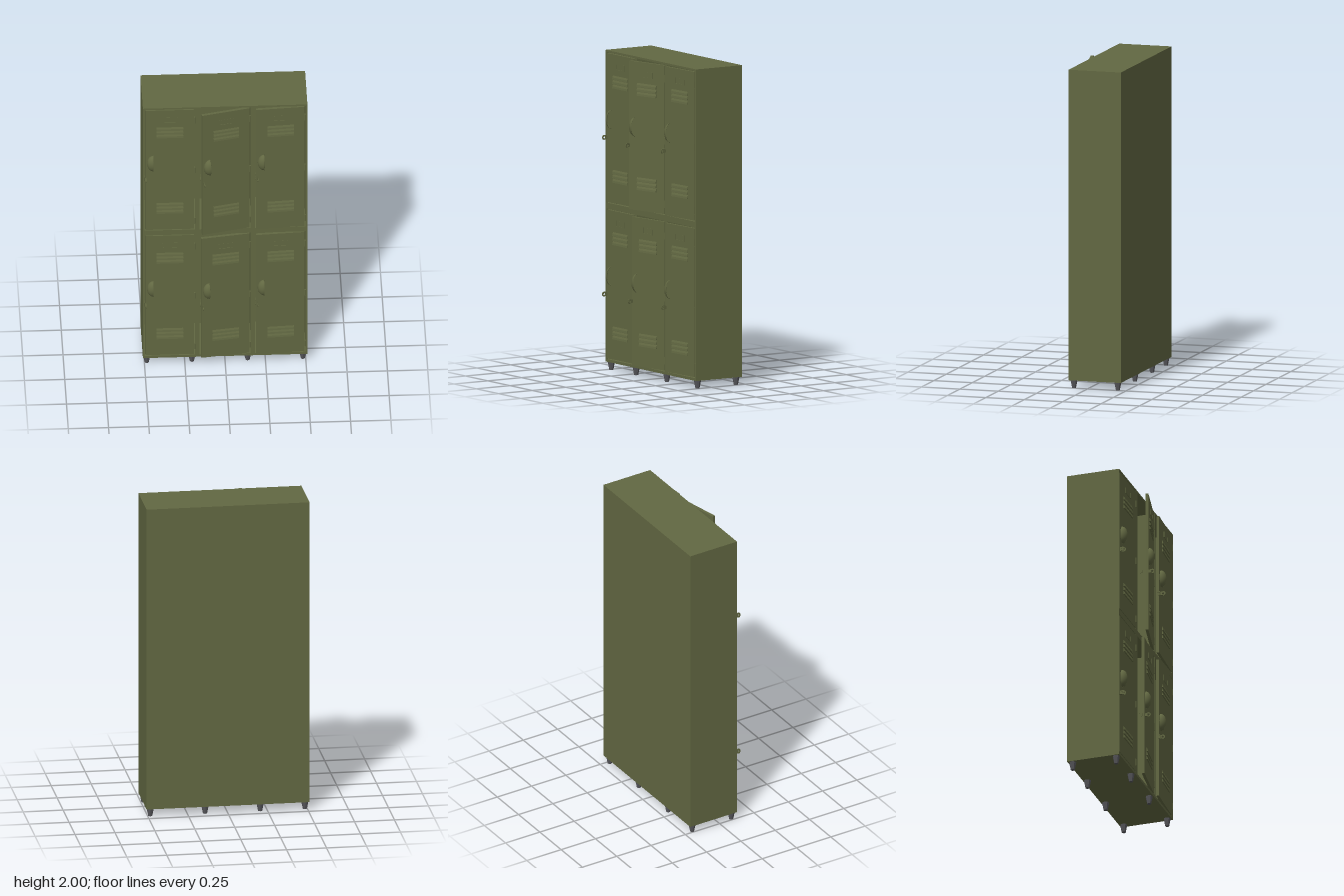
import * as THREE from 'three';

const green = new THREE.MeshStandardMaterial({ color: 0x626842, side: THREE.DoubleSide });
green.name = 'olivePaint';
const grey = new THREE.MeshStandardMaterial({ color: 0x58585c, flatShading: true });
grey.name = 'greyRubber';

const FRONT = 0.12, BACK = -0.22;

function add(parent, name, geometry, x, y, z, material = green) {
  const mesh = new THREE.Mesh(geometry, material);
  mesh.name = name;
  mesh.position.set(x, y, z);
  parent.add(mesh);
  return mesh;
}

// Box given by its minimum and maximum corners
function box(parent, name, x0, x1, y0, y1, z0, z1) {
  return add(parent, name, new THREE.BoxGeometry(x1 - x0, y1 - y0, z1 - z0),
    (x0 + x1) / 2, (y0 + y1) / 2, (z0 + z1) / 2);
}

function rectPath(path, x0, x1, y0, y1) {
  path.moveTo(x0, y0);
  path.lineTo(x1, y0);
  path.lineTo(x1, y1);
  path.lineTo(x0, y1);
  path.closePath();
  return path;
}

// Three wedge-shaped slats, sloping out towards their lower edge
function louvers(door, x0, x1, yBottom) {
  const pitch = 0.028;
  const wedge = new THREE.Shape([
    new THREE.Vector2(-0.001, 0), new THREE.Vector2(0.007, 0),
    new THREE.Vector2(0.005, 0.012), new THREE.Vector2(-0.001, 0.026)]);
  const geometry = new THREE.ExtrudeGeometry(wedge, { depth: x1 - x0, bevelEnabled: false });
  geometry.rotateY(-Math.PI / 2);
  for (let i = 0; i < 3; i++) add(door, 'louver', geometry, x1, yBottom + i * pitch, 0);
}

// Flat tab with a padlock hole, standing out from the surface
function hasp(parent, name, x, y, z, length) {
  const r = 0.015, shape = new THREE.Shape();
  shape.moveTo(0, -0.009);
  shape.lineTo(length - r, -0.013);
  shape.absarc(length - r, 0, r, -Math.PI / 2, Math.PI / 2, false);
  shape.lineTo(0, 0.009);
  shape.closePath();
  shape.holes.push(new THREE.Path().absarc(length - r, 0, 0.007, 0, Math.PI * 2, true));
  const geometry = new THREE.ExtrudeGeometry(shape, { depth: 0.003, bevelEnabled: false, curveSegments: 8 });
  geometry.rotateY(-Math.PI / 2);
  return add(parent, name, geometry, x, y, z);
}

// Door built from its hinge edge: x runs from -width to 0, y from 0 to height
function makeDoor(width, height, handleY, louverYs) {
  const door = new THREE.Group();
  box(door, 'doorPanel', -width, 0, 0, height, -0.018, 0);
  for (const y of louverYs) louvers(door, -width + 0.07, -width + 0.235, y);

  // Cupped pull: quarter of an ellipsoid, open towards the hinge
  const cup = new THREE.SphereGeometry(1, 12, 16, 0, Math.PI / 2);
  cup.scale(0.04, 0.058, 0.033);
  add(door, 'handleCup', cup, -width + 0.05, handleY, 0);
  const rim = new THREE.TorusGeometry(1, 0.03, 6, 16, Math.PI);
  rim.rotateZ(-Math.PI / 2);
  rim.rotateY(-Math.PI / 2);
  rim.scale(0.06, 0.058, 0.032);
  add(door, 'handleRim', rim, -width + 0.049, handleY, 0);
  hasp(door, 'doorHasp', -width + 0.01, handleY - 0.117, 0, 0.038);

  // Name card holder: three raised edges round a thin plate
  const cx = -width + 0.153, cy = height - 0.075;
  box(door, 'cardPlate', cx - 0.045, cx + 0.045, cy - 0.018, cy + 0.018, 0, 0.001);
  box(door, 'cardHolderBottom', cx - 0.045, cx + 0.045, cy - 0.02, cy - 0.016, 0, 0.004);
  for (const s of [-1, 1])
    box(door, 'cardHolderSide', cx + s * 0.045 - 0.002, cx + s * 0.045 + 0.002, cy - 0.02, cy + 0.018, 0, 0.004);
  return door;
}

export function createModel() {
  const model = new THREE.Group();
  model.name = 'lockers';
  const cabinet = new THREE.Group();
  cabinet.name = 'cabinet';
  model.add(cabinet);

  // Outer shell, dividers and middle shelf
  const t = 0.008, inner = FRONT - 0.004;
  box(cabinet, 'backPanel', -0.51, 0.51, 0.05, 2, BACK, BACK + t);
  box(cabinet, 'topPanel', -0.51, 0.51, 2 - t, 2, BACK + t, inner);
  box(cabinet, 'bottomPanel', -0.51, 0.51, 0.05, 0.05 + t, BACK + t, inner);
  box(cabinet, 'rightSide', -0.51, -0.51 + t, 0.05 + t, 2 - t, BACK + t, inner);
  box(cabinet, 'leftSide', 0.51 - t, 0.51, 0.05 + t, 2 - t, BACK + t, inner);
  for (const x of [-0.17, 0.17])
    box(cabinet, 'divider', x - 0.004, x + 0.004, 0.05 + t, 2 - t, BACK + t, inner);
  box(cabinet, 'middleShelf', -0.51 + t, 0.51 - t, 1.02, 1.03, BACK + t, inner);

  // Openings: one per door, with a small gap all round
  const columns = [[-0.495, -0.192], [-0.152, 0.152], [0.19, 0.493]];
  const rows = [
    { y0: 1.052, y1: 1.982, handle: 1.572, louvers: [1.77, 1.18], angles: [0, 12.5, 4], hinges: [1.9, 1.51, 1.115] },
    { y0: 0.073, y1: 1.003, handle: 0.592, louvers: [0.79, 0.2], angles: [0, 8, 3.5], hinges: [0.915, 0.53, 0.135] },
  ];
  const gap = 0.006;
  const frame = rectPath(new THREE.Shape(), -0.51, 0.51, 0.05, 2);
  for (const [x0, x1] of columns)
    for (const r of rows)
      frame.holes.push(rectPath(new THREE.Path(), x0 - gap, x1 + gap, r.y0 - gap, r.y1 + gap));
  add(cabinet, 'frontFrame',
    new THREE.ExtrudeGeometry(frame, { depth: 0.02, bevelEnabled: false }), 0, 0, FRONT - 0.02);

  // Doors, hinges and the frame's own lock tabs
  const barrel = new THREE.CylinderGeometry(0.006, 0.006, 0.045, 10);
  for (const r of rows) {
    columns.forEach(([x0, x1], i) => {
      const door = makeDoor(x1 - x0, r.y1 - r.y0, r.handle - r.y0, r.louvers.map(y => y - r.y0));
      door.name = 'door';
      door.position.set(x1, r.y0, FRONT);
      door.rotation.y = THREE.MathUtils.degToRad(r.angles[i]);
      model.add(door);
      for (const y of r.hinges) add(model, 'hinge', barrel, x1 + 0.003, y, FRONT - 0.002);
      hasp(model, 'frameHasp', x0 - 0.001, r.handle - 0.117, FRONT - 0.02, 0.053);
    });
  }

  // Tapered feet
  const foot = new THREE.CylinderGeometry(0.023, 0.013, 0.05, 8);
  for (const x of [-0.485, -0.205, 0.14, 0.483])
    for (const z of [0.093, -0.192]) add(model, 'foot', foot, x, 0.025, z, grey);

  return model;
}
